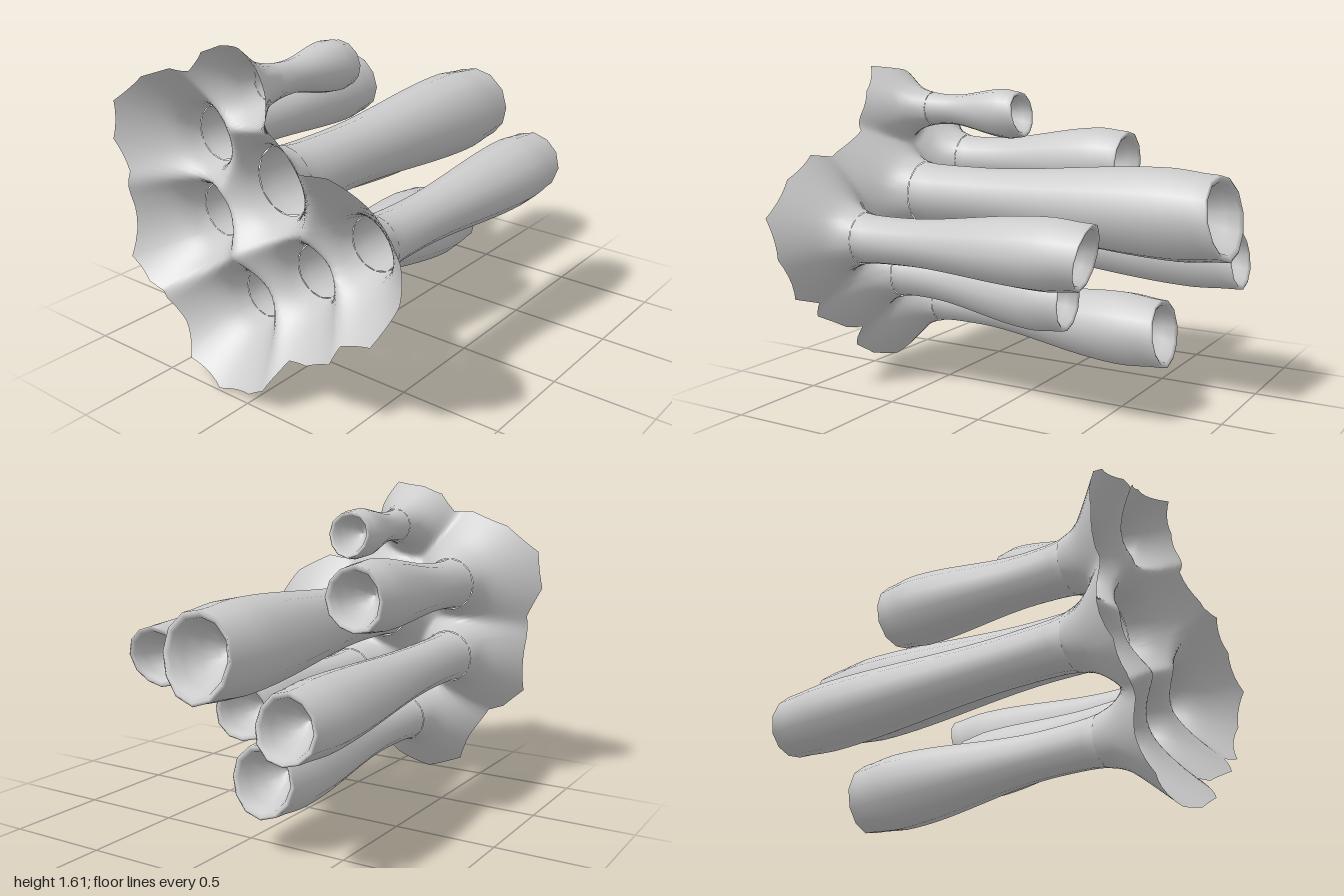
import * as THREE from 'three';

const NECK_Z = 0.66, SIDES = 12, FLARE = 0.012;
const { smoothstep } = THREE.MathUtils;

// base centre, neck radius, tip centre, tip radius, tip z, tip slant in x and y, slope of the funnel
const TUBES = [
  { c: [-0.12, 1.39], r: 0.074, t: [-0.142, 1.375], R: 0.124, z: 0.14, sx: 0, sy: 0.15, slope: 1.3 },
  { c: [-0.44, 1.10], r: 0.12, t: [-0.435, 1.13], R: 0.17, z: -0.31, sx: 0.05, sy: 0, slope: 0.9 },
  { c: [-0.44, 0.72], r: 0.12, t: [-0.47, 0.68], R: 0.167, z: -0.905, sx: 0, sy: 0.15, slope: 1.1 },
  { c: [-0.04, 0.955], r: 0.152, t: [-0.07, 0.942], R: 0.218, z: -0.96, sx: 0.1, sy: 0.16, slope: 1 },
  { c: [0.465, 0.79], r: 0.115, t: [0.505, 0.815], R: 0.167, z: -0.55, sx: -0.1, sy: -0.2, slope: 0.95 },
  { c: [0.15, 0.57], r: 0.118, t: [0.19, 0.54], R: 0.167, z: -0.3, sx: -0.1, sy: 0, slope: 1 },
  { c: [-0.19, 0.355], r: 0.108, t: [-0.17, 0.34], R: 0.184, z: -0.64, sx: 0, sy: 0.12, slope: 1.1 },
];

// outer edge of the base sheet, anticlockwise
const OUTLINE = [
  [0.82, 0.91], [0.68, 1.08], [0.48, 1.18], [0.33, 1.16], [0.14, 1.28], [0.13, 1.36], [0.1, 1.48], [0.02, 1.61],
  [-0.17, 1.59], [-0.27, 1.55], [-0.34, 1.46], [-0.44, 1.46], [-0.64, 1.39], [-0.8, 1.26], [-0.83, 1.07],
  [-0.76, 0.92], [-0.76, 0.8], [-0.74, 0.51], [-0.63, 0.41], [-0.55, 0.38], [-0.46, 0.23], [-0.39, 0.08],
  [-0.19, 0], [0.01, 0.05], [0.12, 0.12], [0.19, 0.25], [0.3, 0.27], [0.47, 0.36], [0.5, 0.44],
  [0.66, 0.49], [0.79, 0.71],
];

const material = new THREE.MeshStandardMaterial({ color: 0xcccccc, side: THREE.DoubleSide });

function makeMesh(name, positions, index) {
  const g = new THREE.BufferGeometry();
  g.setAttribute('position', new THREE.Float32BufferAttribute(positions, 3));
  g.setIndex(index);
  g.computeVertexNormals();
  const mesh = new THREE.Mesh(g, material);
  mesh.name = name;
  return mesh;
}

// outer wall swelling towards the mouth, rolled lip, then a pointed pocket inside
function makeTube(tube, n) {
  const { c, r, t, R, z, sx, sy } = tube;
  const rings = [];
  const wall = 22;
  for (let i = 0; i <= wall; i++) {
    const u = i / wall;
    const swell = (R - r) * smoothstep(u, 0.2, 0.85) - 0.09 * R * smoothstep(u, 0.85, 1);
    const flare = FLARE * Math.exp(-(NECK_Z - z) * u / 0.06);
    rings.push({ u, rad: r + swell + flare, dz: 0 });
  }
  for (const [k, dz] of [[0.85, -0.03], [0.76, 0.03], [0.66, 0.3], [0.48, 0.65], [0.24, 0.95], [0, 1.1]]) {
    rings.push({ u: 1, rad: R * k, dz: R * dz });
  }
  const positions = [], index = [];
  rings.forEach(({ u, rad, dz }, j) => {
    const s = smoothstep(u, 0, 1);
    const cx = c[0] + (t[0] - c[0]) * s, cy = c[1] + (t[1] - c[1]) * s;
    for (let i = 0; i < SIDES; i++) {
      const a = (i / SIDES) * Math.PI * 2;
      const wobble = 1 + 0.025 * u * Math.sin(3 * a + n * 2);
      const x = rad * wobble * Math.cos(a), y = rad * wobble * Math.sin(a);
      positions.push(cx + x, cy + y, NECK_Z + (z - NECK_Z) * u + dz + (sx * x + sy * y) * u ** 4);
      if (j === 0) continue;
      const k = (i + 1) % SIDES;
      const p = (j - 1) * SIDES + i, q = (j - 1) * SIDES + k;
      index.push(p, p + SIDES, q, q, p + SIDES, q + SIDES);
    }
  });
  return makeMesh('tube' + (n + 1), positions, index);
}

// irregular sheet: a wide funnel around every neck, meeting in soft ridges between them
function makeBase() {
  const centre = [-0.05, 0.82], rings = 50, split = 5, soft = 0.018;
  const edge = [];
  OUTLINE.forEach((p, i) => {
    const q = OUTLINE[(i + 1) % OUTLINE.length];
    for (let k = 0; k < split; k++) edge.push(p.map((v, a) => v + (q[a] - v) * k / split));
  });
  const n = edge.length, positions = [], inside = [], index = [];
  for (let j = 0; j <= rings; j++) {
    for (const e of edge) {
      let x = centre[0] + (e[0] - centre[0]) * j / rings;
      let y = centre[1] + (e[1] - centre[1]) * j / rings;
      // points inside a neck are moved out onto its circle
      const hole = TUBES.findIndex(({ c, r }) => Math.hypot(x - c[0], y - c[1]) < r + FLARE);
      if (hole >= 0) {
        const { c, r } = TUBES[hole];
        const f = (r + FLARE) / Math.max(Math.hypot(x - c[0], y - c[1]), 1e-4);
        x = c[0] + (x - c[0]) * f;
        y = c[1] + (y - c[1]) * f;
      }
      // softened distance to the nearest neck sets the funnel depth
      let sum = 0;
      for (const { c, r, slope } of TUBES) {
        sum += Math.exp(-slope * (Math.hypot(x - c[0], y - c[1]) - r - FLARE) / soft);
      }
      const d = Math.max(0, -soft * Math.log(sum));
      positions.push(x, y, NECK_Z + 0.07 * (1 - Math.exp(-d / 0.02)) + d);
      inside.push(hole);
    }
  }
  const face = (a, b, c) => {
    if (inside[a] >= 0 && inside[a] === inside[b] && inside[a] === inside[c]) return;
    index.push(a, b, c);
  };
  for (let j = 0; j < rings; j++) {
    for (let i = 0; i < n; i++) {
      const a = j * n + i, b = j * n + (i + 1) % n;
      face(a, b, a + n);
      face(b, b + n, a + n);
    }
  }
  return makeMesh('baseSheet', positions, index);
}

export function createModel() {
  const group = new THREE.Group();
  group.name = 'tubeCluster';
  group.add(makeBase());
  TUBES.forEach((tube, i) => group.add(makeTube(tube, i)));
  return group;
}
